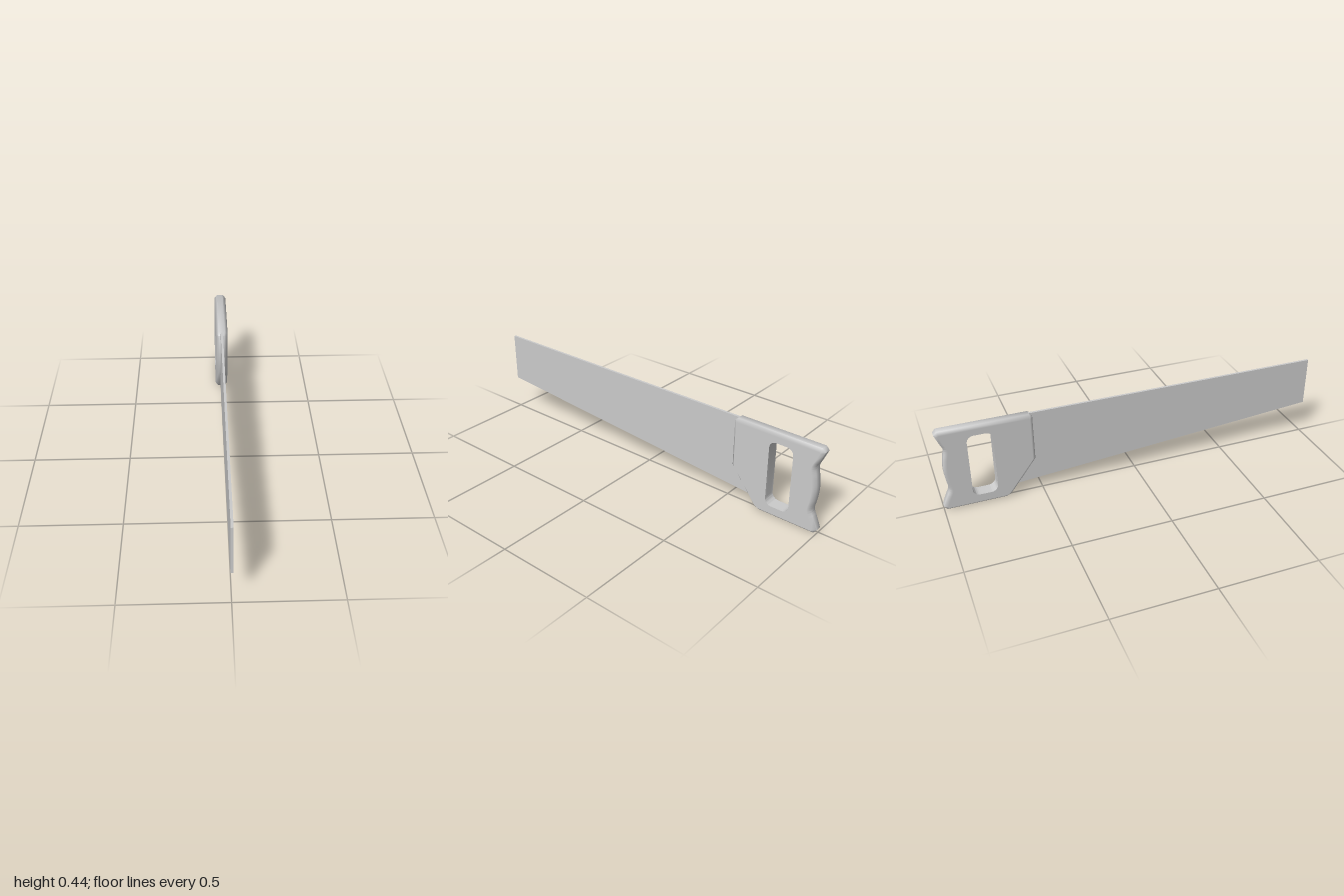
import * as THREE from 'three';
import { toCreasedNormals } from 'three/addons/utils/BufferGeometryUtils.js';

const HALF = 0.033;   // half thickness of the handle
const BEVEL = 0.016;  // chamfer around the handle's outer edge
// Grip hole: a core rectangle grown by a corner radius
const HOLE = { z0: -0.82, z1: -0.765, y0: 0.09, y1: 0.36, r: 0.035 };

// Extrudes a side profile drawn in (z, y), centred on x = 0
function extrudeSide(shape, thickness, bevel = 0) {
  const depth = thickness - 2 * bevel;
  const geometry = new THREE.ExtrudeGeometry(shape, {
    depth, curveSegments: 10,
    bevelEnabled: bevel > 0, bevelThickness: bevel, bevelSize: bevel,
    bevelOffset: -bevel, bevelSegments: 1,
  });
  return geometry.translate(0, 0, -depth / 2).rotateY(-Math.PI / 2);
}

function handleShape() {
  const shape = new THREE.Shape();
  shape.moveTo(-0.545, 0.443);
  [
    [-0.985, 0.443], [-1, 0.425], [-0.975, 0.365],
  ].forEach(([z, y]) => shape.lineTo(z, y));
  // Finger-shaped back edge of the grip
  shape.splineThru([
    [-0.963, 0.332], [-0.972, 0.28], [-0.977, 0.222], [-0.972, 0.165], [-0.963, 0.111], [-0.975, 0.078],
  ].map(([z, y]) => new THREE.Vector2(z, y)));
  [
    [-1, 0.018], [-0.985, 0], [-0.69, 0], [-0.668, 0.009], [-0.65, 0.031],
    [-0.53, 0.19], [-0.53, 0.428],
  ].forEach(([z, y]) => shape.lineTo(z, y));
  shape.closePath();

  const { z0, z1, y0, y1, r } = HOLE;
  const hole = new THREE.Path();
  hole.absarc(z1, y1, r, 0, Math.PI / 2);
  hole.absarc(z0, y1, r, Math.PI / 2, Math.PI);
  hole.absarc(z0, y0, r, Math.PI, Math.PI * 1.5);
  hole.absarc(z1, y0, r, Math.PI * 1.5, Math.PI * 2);
  hole.closePath();
  shape.holes.push(hole);
  return shape;
}

function handleGeometry() {
  let geometry = extrudeSide(handleShape(), HALF * 2, BEVEL);

  // Keep the hole walls straight: pull their bevelled rim back to the hole outline
  const { z0, z1, y0, y1, r } = HOLE;
  const pos = geometry.attributes.position;
  for (let i = 0; i < pos.count; i++) {
    const z = pos.getZ(i), y = pos.getY(i);
    const cz = THREE.MathUtils.clamp(z, z0, z1);
    const cy = THREE.MathUtils.clamp(y, y0, y1);
    const d = Math.hypot(z - cz, y - cy);
    if (d > 0 && d < r + BEVEL * 1.5) {
      pos.setZ(i, cz + (z - cz) * r / d);
      pos.setY(i, cy + (y - cy) * r / d);
    }
  }

  // Smooth chamfers that blend into perfectly flat cheeks
  geometry = toCreasedNormals(geometry, Math.PI / 3);
  const p = geometry.attributes.position, n = geometry.attributes.normal;
  for (let i = 0; i < p.count; i++) {
    if (Math.abs(p.getX(i)) > HALF - 0.001 && Math.abs(n.getX(i)) > 0.3) {
      n.setXYZ(i, Math.sign(p.getX(i)), 0, 0);
    }
  }
  return geometry;
}

export function createModel() {
  const model = new THREE.Group();
  model.name = 'handSaw';
  const material = new THREE.MeshStandardMaterial({ color: 0xcccccc });

  // Tapering blade, its rear end seated inside the handle
  const bladeShape = new THREE.Shape([
    [1, 0.442], [-0.7, 0.442], [-0.7, 0.055], [-0.64, 0.055], [1, 0.183],
  ].map(([z, y]) => new THREE.Vector2(z, y)));
  const blade = new THREE.Mesh(extrudeSide(bladeShape, 0.012), material);
  blade.name = 'blade';

  const handle = new THREE.Mesh(handleGeometry(), material);
  handle.name = 'handle';

  model.add(blade, handle);
  return model;
}
